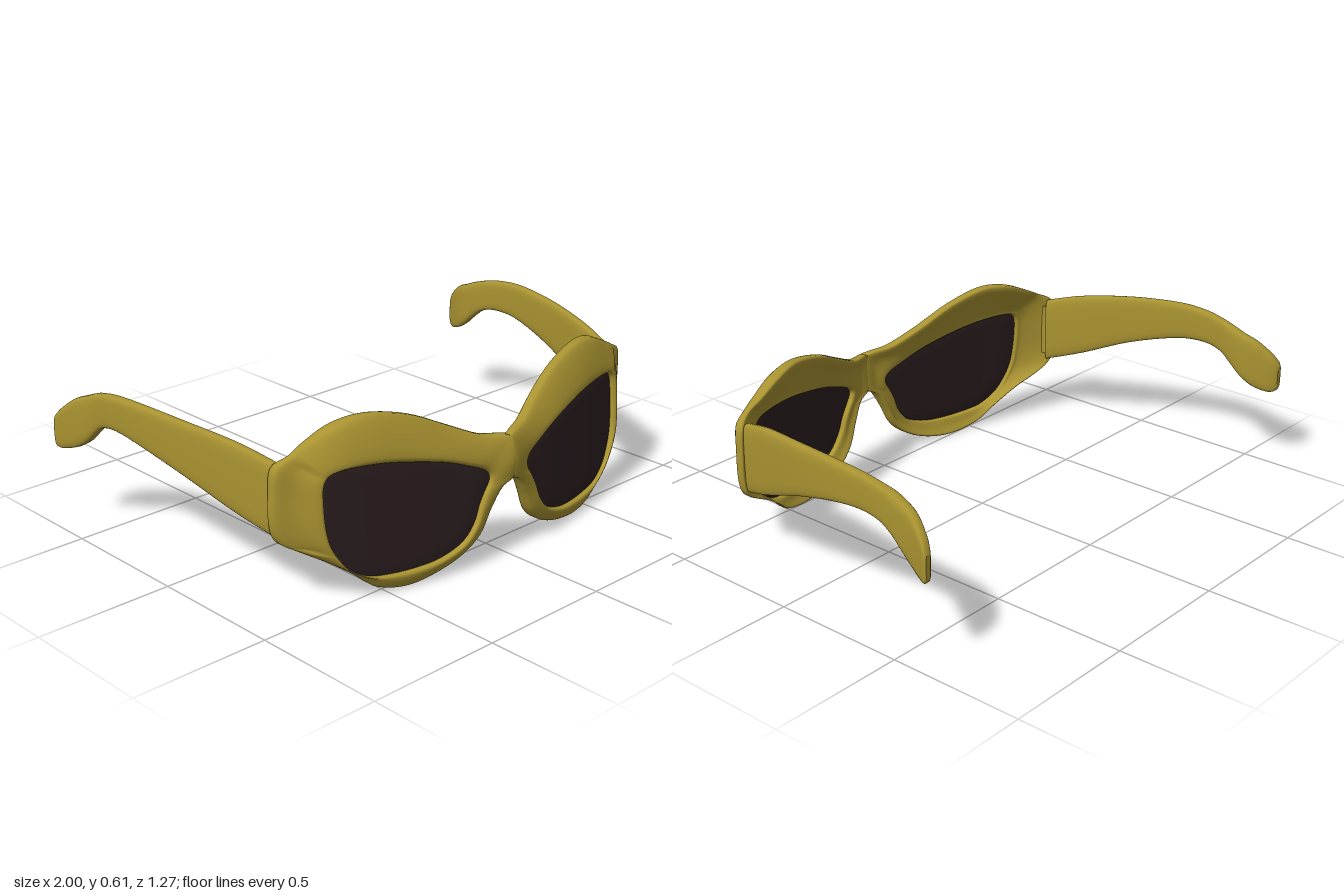
import * as THREE from 'three';

const gold = new THREE.MeshStandardMaterial({ color: 0xa99331 });
gold.name = 'olive gold';
const dark = new THREE.MeshStandardMaterial({ color: 0x2b1e20 });
dark.name = 'smoked lens';

// Rim stations, clockwise: outer x, outer y, opening x, opening y, outer front z, outer back z
const RIM = [
  [0, 0.44, 0.11, 0.345, 0.61, 0.575], [0.1, 0.46, 0.17, 0.372, 0.575, 0.535],
  [0.22, 0.515, 0.26, 0.405, 0.53, 0.49], [0.35, 0.575, 0.37, 0.432, 0.495, 0.455],
  [0.5, 0.61, 0.48, 0.452, 0.465, 0.42], [0.62, 0.597, 0.58, 0.46, 0.44, 0.385],
  [0.72, 0.555, 0.66, 0.458, 0.415, 0.37], [0.78, 0.525, 0.695, 0.445, 0.4, 0.37],
  [0.835, 0.49, 0.709, 0.415, 0.385, 0.345], [0.845, 0.4, 0.712, 0.36, 0.38, 0.342],
  [0.845, 0.3, 0.71, 0.29, 0.38, 0.342], [0.825, 0.235, 0.7, 0.225, 0.385, 0.345],
  [0.77, 0.195, 0.675, 0.17, 0.41, 0.365], [0.68, 0.14, 0.635, 0.118, 0.455, 0.41],
  [0.59, 0.075, 0.57, 0.08, 0.49, 0.45], [0.53, 0.027, 0.5, 0.068, 0.52, 0.475],
  [0.43, 0.005, 0.4, 0.065, 0.545, 0.495], [0.32, 0.013, 0.3, 0.075, 0.56, 0.515],
  [0.21, 0.05, 0.21, 0.11, 0.58, 0.535], [0.13, 0.11, 0.16, 0.165, 0.595, 0.55],
  [0.085, 0.2, 0.135, 0.225, 0.605, 0.56], [0.045, 0.268, 0.112, 0.268, 0.615, 0.57],
  [0, 0.3, 0.095, 0.295, 0.625, 0.575], [0, 0.37, 0.09, 0.32, 0.63, 0.578],
];

// Temple stations, hinge to tip: z, centre x, bottom y, top y, half thickness
const TEMPLE = [
  [0.345, 0.812, 0.245, 0.5, 0.022], [0.2, 0.853, 0.295, 0.538, 0.021],
  [0, 0.905, 0.377, 0.566, 0.02], [-0.2, 0.938, 0.436, 0.58, 0.02],
  [-0.32, 0.942, 0.45, 0.575, 0.02], [-0.4, 0.938, 0.436, 0.56, 0.021],
  [-0.45, 0.934, 0.402, 0.546, 0.023], [-0.5, 0.936, 0.357, 0.526, 0.024],
  [-0.55, 0.947, 0.325, 0.505, 0.023], [-0.6, 0.967, 0.31, 0.465, 0.021],
  [-0.625, 0.98, 0.314, 0.435, 0.018], [-0.635, 0.984, 0.33, 0.415, 0.01],
];

const V = (x, y, z) => new THREE.Vector3(x, y, z);
const mix = THREE.MathUtils.lerp;

// Wrapped front surface of the lenses
const faceZ = (x, y) =>
  0.61 - 0.2 * (x - 0.09) - 0.083 * (x - 0.09) * (x - 0.4) - 0.08 * (y - 0.25);

// Skin closed sections; side = -1 mirrors the part
function loft(rings, side, { closed = false, caps = false } = {}) {
  const n = rings[0].length, m = rings.length, pos = [], idx = [];
  const put = (p) => pos.push(p.x * side, p.y, p.z);
  const tri = (a, b, c) => (side > 0 ? idx.push(a, b, c) : idx.push(a, c, b));
  rings.forEach((r) => r.forEach(put));
  for (let i = 0; i < (closed ? m : m - 1); i++) {
    for (let k = 0; k < n; k++) {
      const j = (i + 1) % m, l = (k + 1) % n;
      // leave the centre seam open so both halves join
      if ([rings[i][k], rings[i][l], rings[j][k], rings[j][l]].every((p) => p.x < 1e-4)) continue;
      const a = i * n + k, b = j * n + k, c = j * n + l, d = i * n + l;
      tri(a, b, d);
      tri(b, c, d);
    }
  }
  if (caps) {
    [rings[0], rings[m - 1]].forEach((r, end) => {
      const base = pos.length / 3;
      r.forEach(put);
      for (let k = 1; k < n - 1; k++) {
        if (end) tri(base, base + k + 1, base + k);
        else tri(base, base + k, base + k + 1);
      }
    });
  }
  const g = new THREE.BufferGeometry();
  g.setAttribute('position', new THREE.Float32BufferAttribute(pos, 3));
  g.setIndex(idx);
  g.computeVertexNormals();
  return g;
}

const STEPS = 120;
const outerCurve = new THREE.CatmullRomCurve3(RIM.map((r) => V(r[0], r[1], r[4])), true, 'catmullrom');
const innerCurve = new THREE.CatmullRomCurve3(RIM.map((r) => V(r[2], r[3], r[5])), true, 'catmullrom');
const stations = Array.from({ length: STEPS }, (_, i) => ({
  o: outerCurve.getPoint(i / STEPS), q: innerCurve.getPoint(i / STEPS),
}));

// Rounded rim section running from the opening over the front and around the back
function rimSection({ o, q }) {
  const ox = Math.max(0, o.x), zA = o.z, zB = q.z;
  const F = faceZ(q.x, q.y), B = F - 0.032;
  const round = ox < 0.01 ? 1 : 0.95;
  const bulge = ox > 0.79 ? -0.008 : 0.008;
  const at = (t, z) => V(mix(q.x, ox, t), mix(q.y, o.y, t), z);
  const pts = [
    at(0, F - 0.006), at(0.14, F + 0.008), at(0.58, mix(F, zA, 0.5) + bulge), at(round, zA),
    at(1, (zA + zB) / 2), at(round, zB), at(0.55, mix(B, zB, 0.55)), at(0.14, B - 0.008), at(0, B),
  ];
  const curve = new THREE.CatmullRomCurve3(pts, true, 'catmullrom');
  return Array.from({ length: 27 }, (_, k) => {
    const p = curve.getPoint(k / 27);
    p.x = Math.max(0, p.x);
    return p;
  });
}

// Lens section: centre to edge on the front, back to the centre behind
function lensSection({ q }) {
  const row = [0, 0.25, 0.5, 0.75, 1.01];
  const at = (t, dz) => {
    const x = mix(0.42, q.x, t), y = mix(0.26, q.y, t);
    return V(x, y, faceZ(x, y) - dz);
  };
  return [...row.map((t) => at(t, 0.01)), ...row.reverse().map((t) => at(t, 0.019))];
}

// Temple rings: rounded flat bars along a smooth path
function templeRings() {
  const path = new THREE.CatmullRomCurve3(TEMPLE.map((t) => V(t[1], (t[2] + t[3]) / 2, t[0])), false, 'catmullrom');
  const size = new THREE.CatmullRomCurve3(TEMPLE.map((t) => V(t[4], (t[3] - t[2]) / 2, 0)), false, 'catmullrom');
  const soft = (v) => Math.sign(v) * Math.sqrt(Math.abs(v));
  return Array.from({ length: 45 }, (_, i) => {
    const c = path.getPoint(i / 44), s = size.getPoint(i / 44);
    return Array.from({ length: 24 }, (_, k) => {
      const a = (k / 24) * Math.PI * 2;
      return V(c.x + s.x * soft(Math.cos(a)), c.y + s.y * soft(Math.sin(a)), c.z);
    });
  });
}

export function createModel() {
  const model = new THREE.Group();
  model.name = 'sunglasses';
  const add = (name, geometry, material) => {
    const mesh = new THREE.Mesh(geometry, material);
    mesh.name = name;
    model.add(mesh);
    return mesh;
  };
  for (const [label, side] of [['left', 1], ['right', -1]]) {
    add(label + 'Rim', loft(stations.map(rimSection), side, { closed: true }), gold);
    add(label + 'Lens', loft(stations.map(lensSection), side, { closed: true }), dark);
    add(label + 'Temple', loft(templeRings(), side, { caps: true }), gold);
    // hinge joining temple and rim
    add(label + 'Hinge', new THREE.BoxGeometry(0.025, 0.2, 0.04), gold).position.set(side * 0.812, 0.37, 0.35);
  }
  return model;
}
